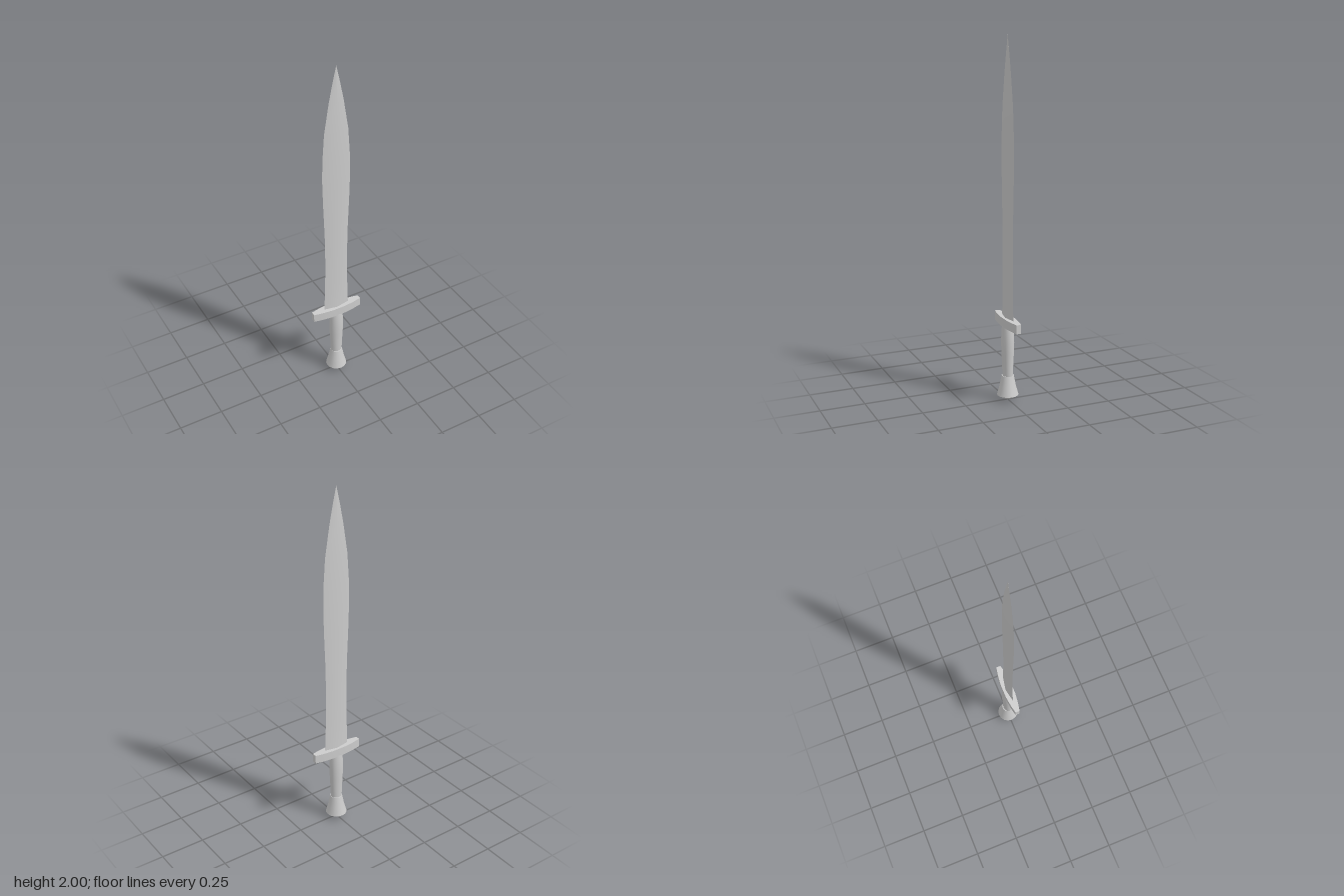
import * as THREE from 'three';
import { toCreasedNormals } from 'three/addons/utils/BufferGeometryUtils.js';

const material = new THREE.MeshStandardMaterial({ color: 0xcccccc });

function part(name, geometry, crease = 0.6) {
  const mesh = new THREE.Mesh(toCreasedNormals(geometry, crease), material);
  mesh.name = name;
  return mesh;
}

// Lofts a diamond cross-section through rows of [y, halfWidth, halfThickness].
function diamondLoft(rows) {
  const positions = [];
  const index = [];
  for (const [y, w, t] of rows) positions.push(w, y, 0, 0, y, t, -w, y, 0, 0, y, -t);
  for (let r = 0; r < rows.length - 1; r++) {
    for (let i = 0; i < 4; i++) {
      const a = r * 4 + i, b = r * 4 + (i + 1) % 4;
      index.push(a, a + 4, b, b, a + 4, b + 4);
    }
  }
  const geometry = new THREE.BufferGeometry();
  geometry.setAttribute('position', new THREE.Float32BufferAttribute(positions, 3));
  geometry.setIndex(index);
  return geometry;
}

function lathe(profile, depthScale = 1) {
  const points = profile.map(([r, y]) => new THREE.Vector2(r, y));
  return new THREE.LatheGeometry(points, 16).scale(1, 1, depthScale);
}

export function createModel() {
  const model = new THREE.Group();
  model.name = 'sword';

  // Leaf-shaped blade, waisted above the guard
  model.add(part('blade', diamondLoft([
    [0.46, 0.077, 0.015], [0.63, 0.071, 0.015], [0.8, 0.068, 0.015],
    [1.0, 0.071, 0.015], [1.2, 0.079, 0.015], [1.35, 0.083, 0.015],
    [1.47, 0.081, 0.015], [1.63, 0.07, 0.014], [1.8, 0.043, 0.009],
    [1.9, 0.023, 0.005], [2.0, 0.0004, 0.0003],
  ])));

  // Crossguard: flat bar narrowing towards both ends
  const halfOutline = [[-0.15, 0.013], [-0.1, 0.023], [-0.04, 0.03], [0.04, 0.03], [0.1, 0.023], [0.15, 0.013]];
  const outline = [...halfOutline, ...halfOutline.map(([x, z]) => [-x, -z])];
  const shape = new THREE.Shape(outline.map(([x, z]) => new THREE.Vector2(x, z)));
  const guard = new THREE.ExtrudeGeometry(shape, { depth: 0.05, bevelEnabled: false });
  guard.rotateX(-Math.PI / 2).translate(0, 0.425, 0);
  model.add(part('crossguard', guard));

  // Oval, slightly swelling grip
  model.add(part('grip', lathe([
    [0.033, 0.135], [0.035, 0.2], [0.039, 0.27], [0.041, 0.33], [0.04, 0.38], [0.036, 0.43],
  ], 0.86)));

  // Flared pommel with a shallow conical base
  model.add(part('pommel', lathe([
    [0, 0], [0.015, 0.004], [0.06, 0.03], [0.046, 0.08], [0.034, 0.142], [0, 0.142],
  ])));

  return model;
}
